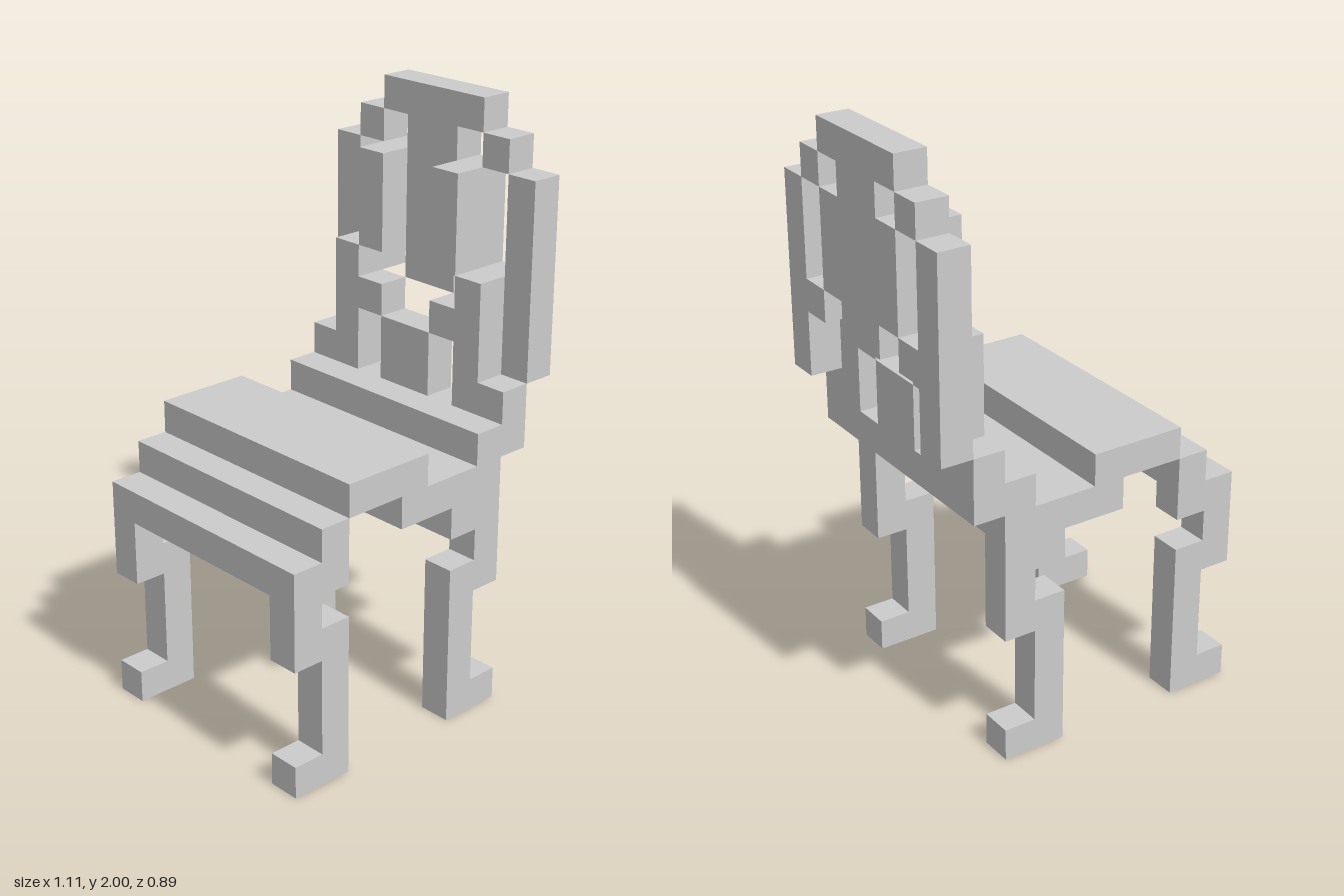
import * as THREE from 'three';

const U = 1 / 9; // one block of the grid

export function createModel() {
  const model = new THREE.Group();
  const material = new THREE.MeshStandardMaterial({ color: 0xcccccc, flatShading: true });

  // Extrude a blocky outline, given in block units, from one plane to another
  function prism(points, from, to) {
    const shape = new THREE.Shape(points.map(([u, v]) => new THREE.Vector2(u * U, v * U)));
    return new THREE.ExtrudeGeometry(shape, { depth: (to - from) * U, bevelEnabled: false })
      .translate(0, 0, from * U);
  }
  function add(name, geometry) {
    const mesh = new THREE.Mesh(geometry, material);
    mesh.name = name;
    model.add(mesh);
  }
  const rect = (u0, u1, v0, v1) => [[u0, v0], [u1, v0], [u1, v1], [u0, v1]];
  // Side profile (x, y) running across the chair
  const across = (name, points, z0, z1) => add(name, prism(points, z0, z1));
  // Back outline (z, y) with its thickness along x
  const upright = (name, points, x0, x1) => add(name, prism(points, x0, x1).rotateY(Math.PI / 2));
  const flip = (points, s) => points.map(([u, v]) => [u * s, v]);

  // Stepped seat and rails
  across('seat', [
    [-3, 8], [-1, 8], [-1, 7], [1, 7], [1, 6], [2, 6], [2, 7], [3, 7], [3, 8],
    [4, 8], [4, 9], [2, 9], [2, 8], [0, 8], [0, 9], [-3, 9],
  ], -4, 4);
  across('frontUpperRail', rect(-4, -3, 7, 8), -4, 4);
  across('frontLowerRail', rect(-5, -4, 6, 7), -4, 4);

  // Legs
  const frontLeg = [[-5, 0], [-3, 0], [-3, 5], [-4, 5], [-4, 6], [-5, 6], [-5, 4], [-4, 4], [-4, 1], [-5, 1]];
  const rearLeg = [[1, 0], [3, 0], [3, 1], [2, 1], [2, 4], [3, 4], [3, 7], [2, 7], [2, 5], [1, 5]];
  for (const z of [-4, 3]) {
    across('frontLeg', frontLeg, z, z + 1);
    across('frontLegBracket', rect(-4, -3, 6, 7), z, z + 1);
    across('rearLeg', rearLeg, z, z + 1);
  }

  // Backrest, inner layer and outer layer on each side
  const support = [[4, 9], [4, 10], [3, 10], [3, 13], [2, 13], [2, 12], [1, 12], [1, 11], [2, 11], [2, 9]];
  const sidePost = [[4, 10], [4, 16], [3, 16], [3, 13], [2, 13], [2, 12], [3, 12], [3, 10]];
  for (const s of [-1, 1]) {
    upright('backSupport', flip(support, s), 3, 4);
    upright('panelRib', flip(rect(1, 2, 13, 16), s), 3, 4);
    upright('sidePost', flip(sidePost, s), 4, 5);
    upright('cornerBlock', flip(rect(2, 3, 16, 17), s), 4, 5);
  }
  upright('centrePost', rect(-1, 1, 9, 11), 3, 4);

  // Central back panel
  const half = [[1, 12], [1, 13], [2, 13], [2, 16], [1, 16], [1, 17], [2, 17], [2, 18]];
  upright('backPanel', [...half, ...flip(half, -1).reverse()], 4, 5);

  return model;
}
